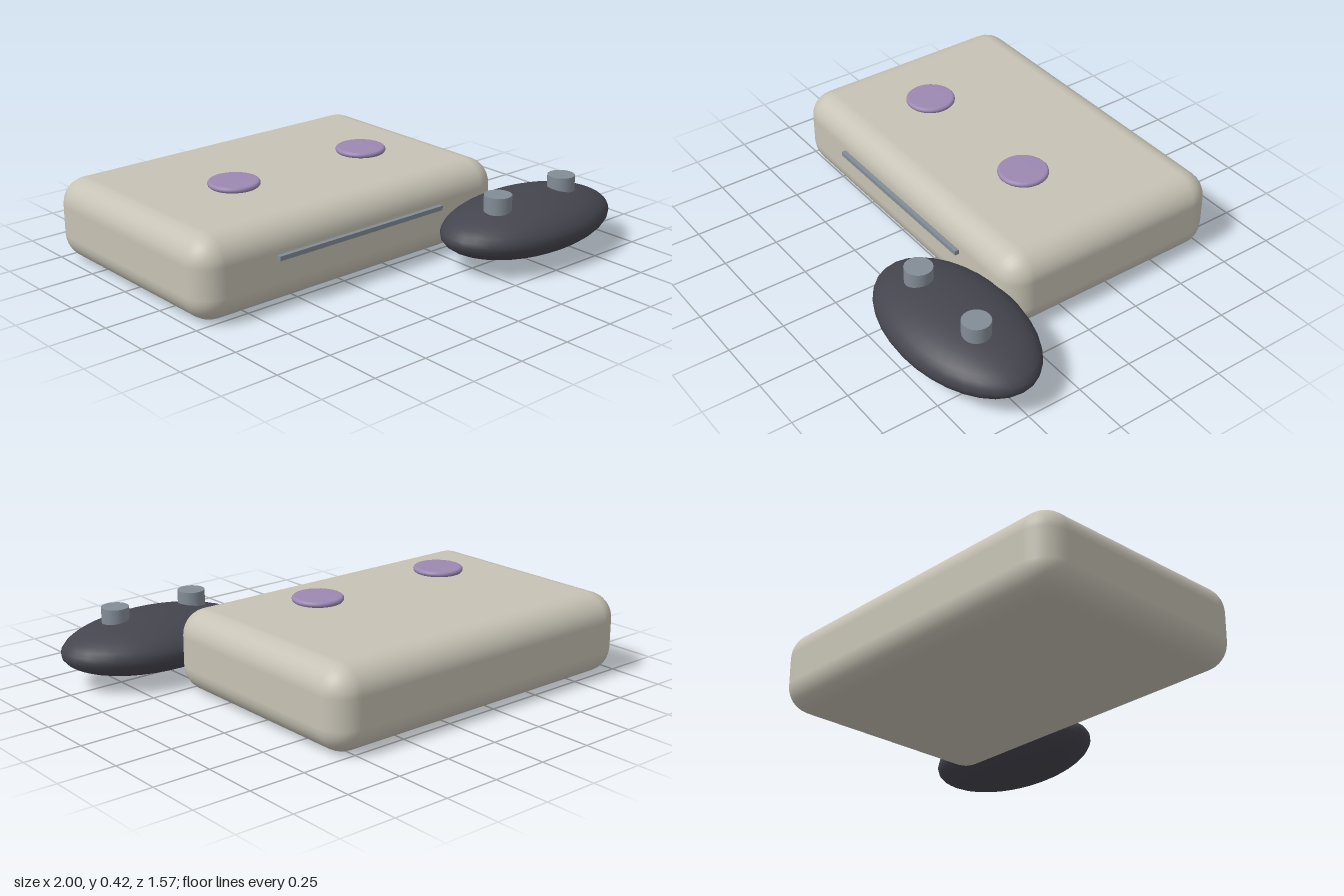
import * as THREE from 'three';
import { RoundedBoxGeometry } from 'three/addons/geometries/RoundedBoxGeometry.js';

const material = (name, color) => {
  const m = new THREE.MeshStandardMaterial({ color });
  m.name = name;
  return m;
};

export function createModel() {
  const beige = material('beige shell', 0xc6c2b4);
  const charcoal = material('charcoal', 0x45454f);
  const purple = material('purple', 0x9c88b2);
  const grey = material('slate grey', 0x838c96);

  const model = new THREE.Group();
  model.name = 'gameConsole';
  const add = (parent, name, geometry, mat, x, y, z) => {
    const mesh = new THREE.Mesh(geometry, mat);
    mesh.name = name;
    mesh.position.set(x, y, z);
    parent.add(mesh);
    return mesh;
  };

  // Console body with soft edges, and the disc slot on its front
  add(model, 'consoleBody', new RoundedBoxGeometry(1.615, 0.36, 1.08, 4, 0.115), beige, -0.1925, 0.18, -0.245);
  add(model, 'discSlot', new THREE.BoxGeometry(0.885, 0.02, 0.02), grey, -0.1925, 0.22, 0.305);

  // Round buttons hovering over the top, with a rounded rim
  const half = 0.0125, radius = 0.11;
  const profile = [new THREE.Vector2(0, -half), new THREE.Vector2(radius - half, -half)];
  for (let i = 1; i < 6; i++) {
    const a = -Math.PI / 2 + (i * Math.PI) / 6;
    profile.push(new THREE.Vector2(radius - half + half * Math.cos(a), half * Math.sin(a)));
  }
  profile.push(new THREE.Vector2(radius - half, half), new THREE.Vector2(0, half));
  const buttonGeometry = new THREE.LatheGeometry(profile, 32);
  [['rightButton', -0.54], ['leftButton', 0.152]].forEach(([name, x]) =>
    add(model, name, buttonGeometry, purple, x, 0.404, -0.107));

  // Oval controller with two thumbsticks
  const controller = new THREE.Group();
  controller.name = 'controller';
  controller.position.set(0.55, 0.153, 0.522);
  model.add(controller);
  const shell = new THREE.SphereGeometry(1, 32, 20);
  shell.scale(0.45, 0.125, 0.263);
  add(controller, 'controllerShell', shell, charcoal, 0, 0, 0);
  const stickGeometry = new THREE.CylinderGeometry(0.06, 0.06, 0.09, 20);
  [['rightThumbstick', -0.212], ['leftThumbstick', 0.182]].forEach(([name, x]) =>
    add(controller, name, stickGeometry, grey, x, 0.127, 0.03));

  return model;
}
